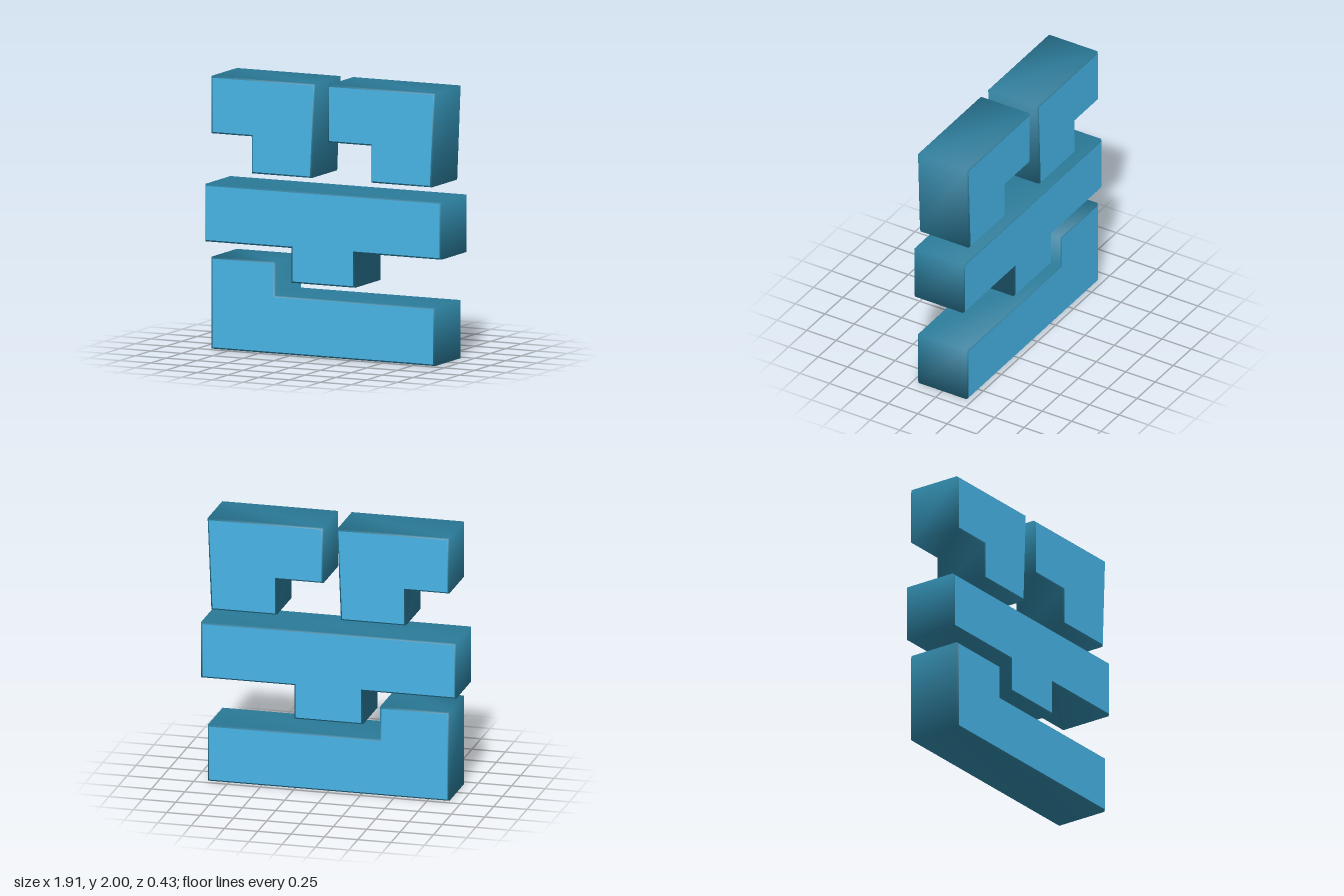
import * as THREE from 'three';
import { mergeVertices } from 'three/addons/utils/BufferGeometryUtils.js';

const DEPTH = 0.43; // full thickness, front to back
const BEVEL = 0.012; // narrow chamfer around both faces

// Copies one material group of a geometry into its own geometry
function part(geometry, { start, count }) {
  const position = geometry.getAttribute('position').array.slice(start * 3, (start + count) * 3);
  return new THREE.BufferGeometry().setAttribute('position', new THREE.BufferAttribute(position, 3));
}

// Extrudes an outline into a chamfered slab: flat bright faces, smooth-shaded dark sides
function slab(name, outline, faceMaterial, sideMaterial) {
  const shape = new THREE.Shape(outline.map(([x, y]) => new THREE.Vector2(x, y)));
  const geometry = new THREE.ExtrudeGeometry(shape, {
    depth: DEPTH - 2 * BEVEL,
    bevelEnabled: true,
    bevelThickness: BEVEL,
    bevelSize: BEVEL,
    bevelOffset: -BEVEL, // keeps the outline at its given size
    bevelSegments: 1,
  });
  geometry.translate(0, 0, BEVEL - DEPTH / 2);

  const faces = new THREE.Mesh(part(geometry, geometry.groups[0]), faceMaterial);
  faces.name = 'faces';
  const sides = new THREE.Mesh(mergeVertices(part(geometry, geometry.groups[1])), sideMaterial);
  sides.name = 'sides';

  const block = new THREE.Group();
  block.name = name;
  for (const mesh of [faces, sides]) {
    mesh.geometry.computeVertexNormals();
    block.add(mesh);
  }
  return block;
}

export function createModel() {
  const faceBlue = new THREE.MeshStandardMaterial({ color: 0x46b3e5 });
  faceBlue.name = 'faceBlue';
  const sideBlue = new THREE.MeshStandardMaterial({ color: 0x2a7a98 });
  sideBlue.name = 'sideBlue';

  const group = new THREE.Group();
  group.name = 'stackedBlocks';

  const outlines = {
    // Top pair: notched blocks with a slightly slanted side
    upperRightBlock: [
      [-0.905, 2], [-0.905, 1.579], [-0.58, 1.579], [-0.58, 1.308], [-0.092, 1.308], [-0.064, 2],
    ],
    upperLeftBlock: [
      [0.038, 2], [0.038, 1.579], [0.388, 1.579], [0.388, 1.308], [0.88, 1.308], [0.908, 2],
    ],
    // Middle: wide T-shaped block
    middleBlock: [
      [-0.957, 1.204], [-0.957, 0.783], [-0.258, 0.783], [-0.258, 0.528],
      [0.258, 0.528], [0.258, 0.783], [0.957, 0.783], [0.957, 1.204],
    ],
    // Bottom: L-shaped base block
    baseBlock: [
      [-0.906, 0], [0.906, 0], [0.906, 0.427], [-0.386, 0.427], [-0.386, 0.674], [-0.906, 0.674],
    ],
  };
  for (const [name, outline] of Object.entries(outlines)) {
    group.add(slab(name, outline, faceBlue, sideBlue));
  }
  return group;
}
